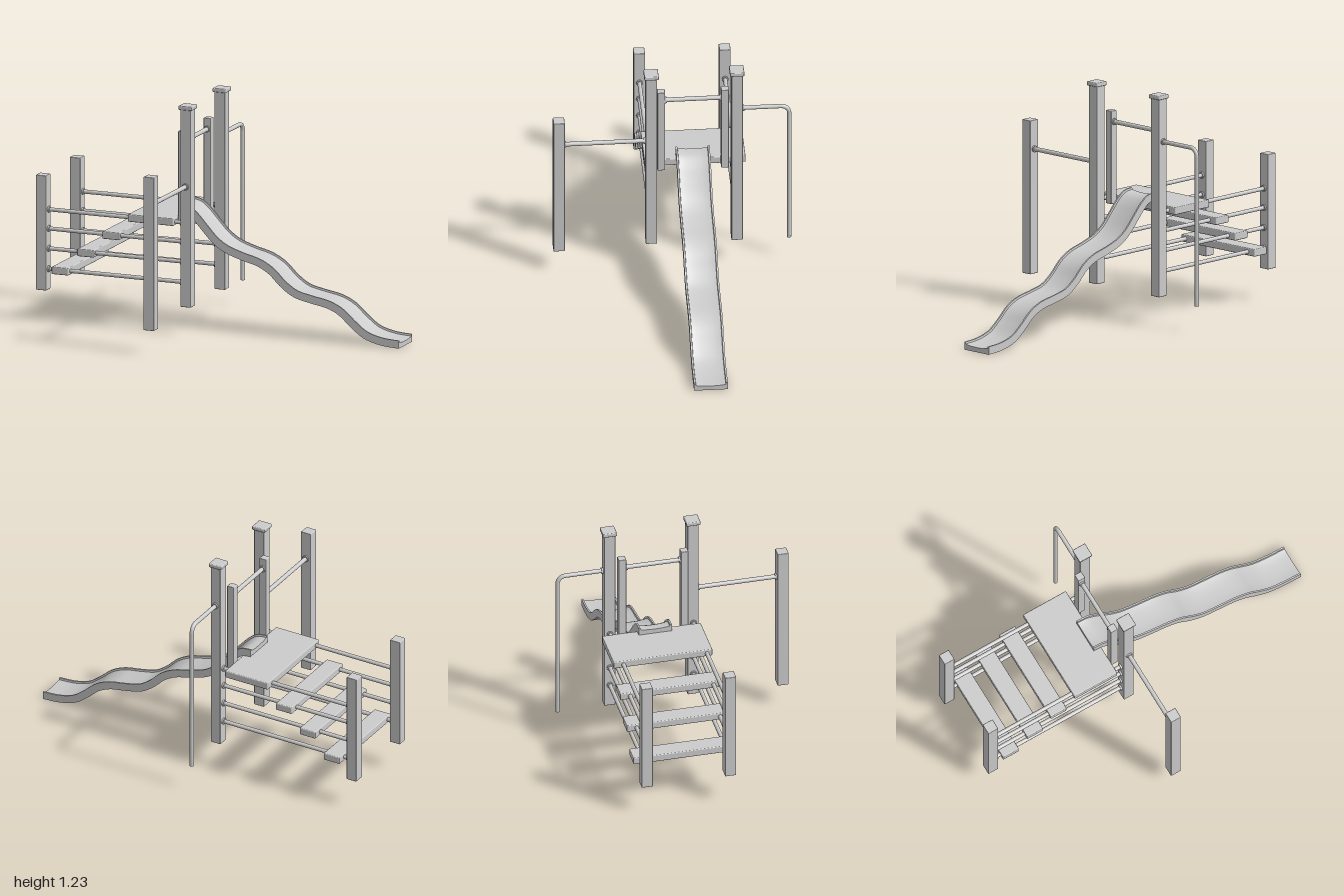
import * as THREE from 'three';
import { toCreasedNormals } from 'three/addons/utils/BufferGeometryUtils.js';
import { RoundedBoxGeometry } from 'three/addons/geometries/RoundedBoxGeometry.js';

const material = new THREE.MeshStandardMaterial({ color: 0xcccccc });

// Lateral positions of the two main post rows
const ROWS = [0.112, -0.338];
const POST_X = -0.145;
const SLIDE_Z = -0.114;

function add(group, name, geometry) {
  const mesh = new THREE.Mesh(geometry, material);
  mesh.name = name;
  group.add(mesh);
  return mesh;
}

// Softly bevelled block given by its min and max corners
function block(group, name, [x0, y0, z0], [x1, y1, z1], radius = 0.005) {
  const mesh = add(group, name, new RoundedBoxGeometry(x1 - x0, y1 - y0, z1 - z0, 2, radius));
  mesh.position.set((x0 + x1) / 2, (y0 + y1) / 2, (z0 + z1) / 2);
}

function post(group, name, x, z, y0, y1, width = 0.06) {
  const h = width / 2;
  block(group, name, [x - h, y0, z - h], [x + h, y1, z + h], 0.004);
}

// Straight cylinder between two points
function rod(group, name, a, b, radius) {
  const dir = b.clone().sub(a);
  const mesh = add(group, name, new THREE.CylinderGeometry(radius, radius, dir.length(), 16));
  mesh.position.copy(a).add(b).multiplyScalar(0.5);
  mesh.quaternion.setFromUnitVectors(new THREE.Vector3(0, 1, 0), dir.normalize());
}

// Bar with a small collar where it meets each post
function bar(group, name, from, to, radius = 0.011) {
  const a = new THREE.Vector3(...from), b = new THREE.Vector3(...to);
  const step = b.clone().sub(a).setLength(0.009);
  rod(group, name, a, b, radius);
  rod(group, name + 'Collar', a, a.clone().add(step), radius + 0.006);
  rod(group, name + 'Collar', b.clone().sub(step), b, radius + 0.006);
}

// Wavy chute: a rimmed trough section swept along a side profile
function slideGeometry() {
  const path = new THREE.CatmullRomCurve3([
    [-0.26, 0.647], [-0.21, 0.64], [-0.165, 0.608], [-0.115, 0.555], [-0.05, 0.487],
    [0.01, 0.447], [0.1, 0.415], [0.2, 0.388], [0.27, 0.35], [0.34, 0.285], [0.41, 0.24],
    [0.5, 0.218], [0.6, 0.198], [0.67, 0.165], [0.74, 0.105], [0.81, 0.055], [0.9, 0.029], [1.0, 0.021],
  ].map(([x, y]) => new THREE.Vector3(x, y, 0)), false, 'centripetal');
  const section = [
    [-0.089, -0.021], [0.089, -0.021], [0.089, 0.021], [0.08, 0.021], [0.078, 0.011],
    [0.065, 0.008], [0.035, 0.005], [0, 0.004], [-0.035, 0.005], [-0.065, 0.008],
    [-0.078, 0.011], [-0.08, 0.021], [-0.089, 0.021],
  ];
  const n = section.length, steps = 90;
  const positions = [], index = [];
  for (let i = 0; i <= steps; i++) {
    const p = path.getPointAt(i / steps), t = path.getTangentAt(i / steps);
    if (i === 0 || i === steps) t.set(1, 0, 0); // upright end faces
    for (const [z, h] of section) positions.push(p.x - t.y * h, p.y + t.x * h, SLIDE_Z + z);
  }
  for (let i = 0; i < steps; i++) {
    for (let j = 0; j < n; j++) {
      const a = i * n + j, b = i * n + (j + 1) % n, c = b + n, d = a + n;
      index.push(a, d, c, a, c, b);
    }
  }
  const caps = THREE.ShapeUtils.triangulateShape(section.map(([z, h]) => new THREE.Vector2(z, h)), []);
  const last = steps * n;
  for (const [a, b, c] of caps) index.push(a, b, c, last + a, last + c, last + b);
  const geometry = new THREE.BufferGeometry();
  geometry.setAttribute('position', new THREE.Float32BufferAttribute(positions, 3));
  geometry.setIndex(index);
  return toCreasedNormals(geometry, 0.7);
}

// Pole leaving the rear tall post, bending down to its foot
function polePath() {
  const p = (y, z) => new THREE.Vector3(POST_X, y, z);
  const path = new THREE.CurvePath();
  path.add(new THREE.LineCurve3(p(0.984, -0.36), p(0.984, -0.57)));
  path.add(new THREE.CubicBezierCurve3(p(0.984, -0.57), p(0.984, -0.594), p(0.966, -0.613), p(0.942, -0.613)));
  path.add(new THREE.LineCurve3(p(0.942, -0.613), p(0.14, -0.613)));
  return path;
}

export function createModel() {
  const model = new THREE.Group();
  model.name = 'playground';

  // Main frame: tall capped posts, short ladder posts and side rails
  const railHeights = [0.6, 0.497, 0.39, 0.28];
  for (const z of ROWS) {
    post(model, 'tallPost', POST_X, z, 0.152, 1.215);
    block(model, 'postCap', [POST_X - 0.038, 1.212, z - 0.038], [POST_X + 0.038, 1.234, z + 0.038]);
    post(model, 'ladderPost', -0.97, z, 0.168, 0.786);
    for (const y of railHeights) bar(model, 'sideRail', [-0.94, y, z], [-0.175, y, z]);
  }

  // Climbing steps and platform resting on the rails
  [[-0.862, 0.28], [-0.716, 0.39], [-0.572, 0.497]].forEach(([x, y]) =>
    block(model, 'step', [x - 0.048, y - 0.02, -0.39], [x + 0.048, y + 0.02, 0.142]));
  block(model, 'platform', [-0.475, 0.582, -0.39], [-0.215, 0.622, 0.142]);

  // Grab frame over the slide entrance
  for (const z of [0.056, -0.279]) post(model, 'entrancePost', -0.195, z, 0.58, 1.08, 0.041);
  bar(model, 'entranceBar', [-0.195, 1.021, 0.036], [-0.195, 1.021, -0.259], 0.012);

  // Chin-up bar and its outer post
  post(model, 'outerPost', POST_X, 0.597, 0.13, 0.955);
  bar(model, 'chinUpBar', [POST_X, 0.8, 0.568], [POST_X, 0.8, 0.142], 0.012);

  // Sliding pole, with a closed foot and a collar at the post
  add(model, 'slidingPole', new THREE.TubeGeometry(polePath(), 100, 0.0115, 14, false));
  rod(model, 'poleFoot', new THREE.Vector3(POST_X, 0.139, -0.613), new THREE.Vector3(POST_X, 0.15, -0.613), 0.0115);
  rod(model, 'poleCollar', new THREE.Vector3(POST_X, 0.984, -0.365), new THREE.Vector3(POST_X, 0.984, -0.377), 0.017);

  add(model, 'slide', slideGeometry());
  return model;
}
